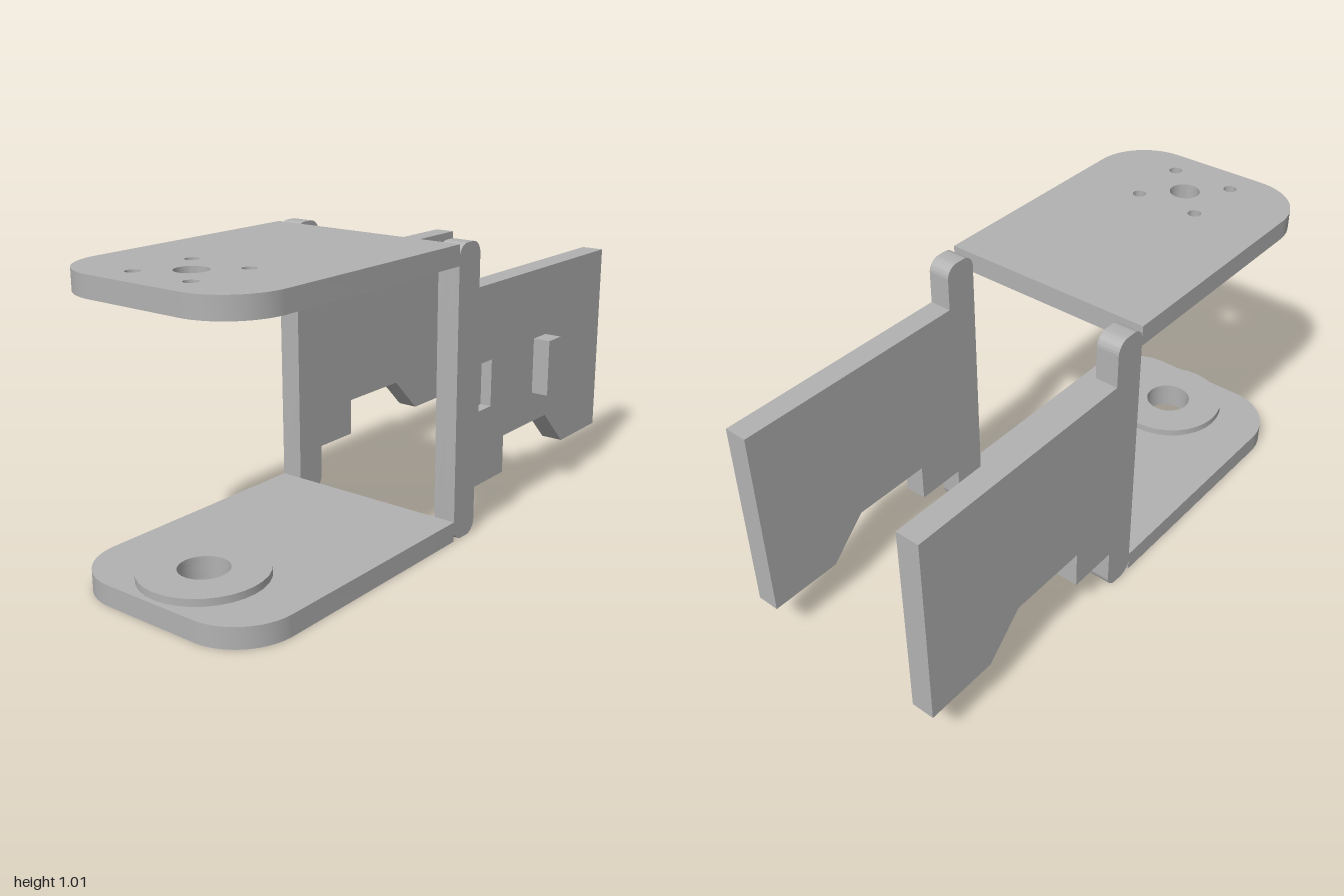
import * as THREE from 'three';
import { toCreasedNormals } from 'three/addons/utils/BufferGeometryUtils.js';

const LEFT = 0.345, RIGHT = -0.41, WALL = 0.08, PLATE = 0.07;
const HX = -0.032, HZ = 0.775; // centre of the servo horn

export function createModel() {
  const group = new THREE.Group();
  const grey = new THREE.MeshStandardMaterial({ color: 0xb2b2b2 });
  grey.name = 'grey';

  const add = (name, geometry, x, y, z) => {
    const mesh = new THREE.Mesh(geometry, grey);
    mesh.name = name;
    mesh.position.set(x, y, z);
    group.add(mesh);
  };
  const extrude = (shape, depth) => toCreasedNormals(
    new THREE.ExtrudeGeometry(shape, { depth, bevelEnabled: false, curveSegments: 16 }), 0.6);
  // Shapes drawn in (x, -z) lie flat; shapes drawn in (-z, y) stand as walls.
  const flat = (shape, depth) => extrude(shape, depth).rotateX(-Math.PI / 2);
  const upright = (shape, depth) => extrude(shape, depth).rotateY(Math.PI / 2);
  const hole = (shape, x, z, r) =>
    shape.holes.push(new THREE.Path().absarc(x, -z, r, 0, Math.PI * 2, true));

  // Horizontal plate with two rounded front corners and a bolt pattern
  const plateShape = (bore) => {
    const r = 0.2, s = new THREE.Shape();
    s.moveTo(RIGHT, 0.02);
    s.lineTo(RIGHT, -1 + r);
    s.absarc(RIGHT + r, -1 + r, r, Math.PI, Math.PI * 1.5, false);
    s.absarc(LEFT - r, -1 + r, r, Math.PI * 1.5, Math.PI * 2, false);
    s.lineTo(LEFT, 0.02);
    s.closePath();
    hole(s, HX, HZ, bore);
    for (const dx of [-0.115, 0.115])
      for (const dz of [-0.115, 0.115]) hole(s, HX + dx, HZ + dz, 0.023);
    return s;
  };
  add('topPlate', flat(plateShape(0.053), PLATE), 0, 0.94, 0);
  add('bottomPlate', flat(plateShape(0.083), PLATE), 0, 0, 0);

  // Raised ring on the bottom plate
  const ring = new THREE.Shape().absarc(HX, -HZ, 0.208, 0, Math.PI * 2, false);
  hole(ring, HX, HZ, 0.083);
  add('mountingRing', flat(ring, 0.025), 0, PLATE, 0);

  // Side wall: rounded post and notched panel in one outline
  const wallShape = () => {
    const r = 0.045, a = 0.02, b = 0.14, h = 1.01, s = new THREE.Shape();
    s.moveTo(a, r);
    s.absarc(a + r, r, r, Math.PI, Math.PI * 1.5, false);
    s.absarc(b - r, r, r, Math.PI * 1.5, Math.PI * 2, false);
    [[b, 0.16], [0.32, 0.16], [0.32, 0.295], [0.61, 0.295], [0.745, 0.16],
      [1, 0.16], [1, 0.852], [b, 0.852]].forEach(([x, y]) => s.lineTo(x, y));
    s.absarc(b - r, h - r, r, 0, Math.PI / 2, false);
    s.absarc(a + r, h - r, r, Math.PI / 2, Math.PI, false);
    s.closePath();
    return s;
  };
  add('rightWall', upright(wallShape(), WALL), RIGHT, 0, 0);

  // Left wall: solid inner layer, outer layer with a recessed slot
  const slotted = wallShape();
  slotted.holes.push(new THREE.Path([[0.155, 0.425], [0.155, 0.59], [0.23, 0.59], [0.23, 0.425]]
    .map(([x, y]) => new THREE.Vector2(x, y))));
  add('leftWallInner', upright(wallShape(), WALL / 2), LEFT - WALL, 0, 0);
  add('leftWallOuter', upright(slotted, WALL / 2), LEFT - WALL / 2, 0, 0);

  // Peg on the outside of the left wall
  add('peg', new THREE.BoxGeometry(0.062, 0.2, 0.082), LEFT + 0.031, 0.505, -0.55);

  return group;
}
